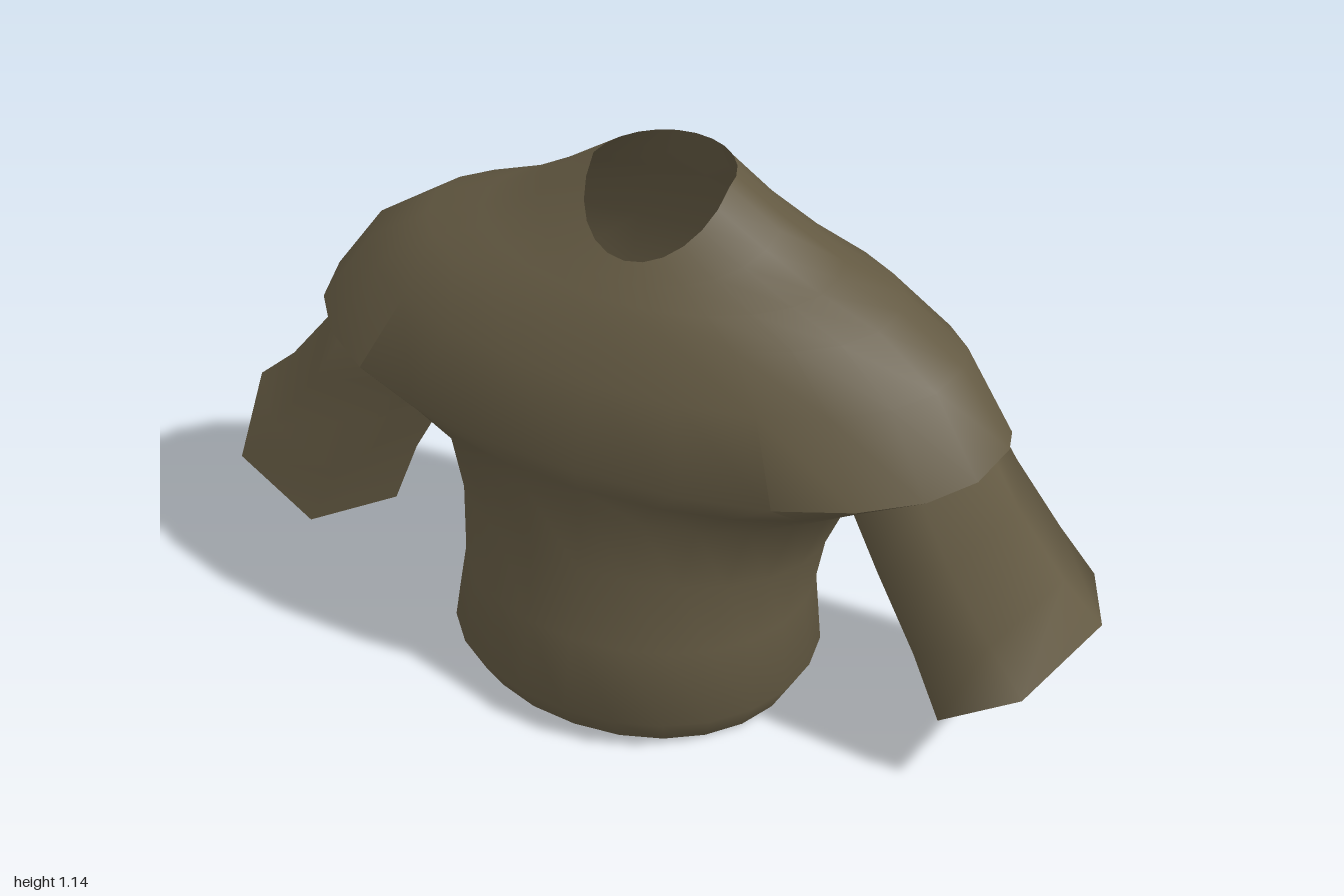
import * as THREE from 'three';
import { toCreasedNormals } from 'three/addons/utils/BufferGeometryUtils.js';

const cloth = new THREE.MeshStandardMaterial({ color: 0x635942, side: THREE.DoubleSide });
cloth.name = 'olive cloth';

// Joins closed rings of points into an open, skinned tube.
function loft(rings, crease) {
  const n = rings[0].length;
  const index = [];
  for (let r = 0; r < rings.length - 1; r++) {
    for (let i = 0; i < n; i++) {
      const a = r * n + i, b = r * n + (i + 1) % n;
      index.push(a, a + n, b, b, a + n, b + n);
    }
  }
  const geometry = new THREE.BufferGeometry();
  geometry.setAttribute('position', new THREE.Float32BufferAttribute(rings.flat(2), 3));
  geometry.setIndex(index);
  return toCreasedNormals(geometry, crease);
}

// Rounded body ring whose front, side and back heights can differ.
function bodyRing([ySide, yFront, yBack, width, zFront, zBack, zMid, power]) {
  const points = [];
  const bend = (v) => Math.sign(v) * Math.abs(v) ** (2 / power);
  const count = 24;
  for (let i = 0; i < count; i++) {
    const a = -i / count * Math.PI * 2;
    const s = bend(Math.sin(a)), k = Math.abs(s);
    const y = ySide + ((s > 0 ? yFront : yBack) - ySide) * k;
    const z = zMid + ((s > 0 ? zFront : zBack) - zMid) * k;
    points.push([width * bend(Math.cos(a)), y, z]);
  }
  return points;
}

// Six-sided sleeve ring between an outer and an inner edge point.
function sleeveRing([xOut, yOut, xIn, yIn, zFront, zBack], side) {
  const zMid = (zFront + zBack) / 2;
  return [[0, zMid], [0.25, zFront], [0.75, zFront], [1, zMid], [0.75, zBack], [0.25, zBack]]
    .map(([t, z]) => [side * (xOut + (xIn - xOut) * t), yOut + (yIn - yOut) * t, z]);
}

export function createModel() {
  const group = new THREE.Group();
  group.name = 'shirt';

  // Body from hem to neckline: side y, front y, back y, half width, front z, back z, mid z, roundness
  const bodyRings = [
    [0.015, 0.00, 0.03, 0.37, 0.33, -0.28, 0.02, 2.1],
    [0.08, 0.075, 0.09, 0.405, 0.375, -0.30, 0.02, 2.1],
    [0.24, 0.24, 0.25, 0.385, 0.335, -0.305, 0.01, 2.1],
    [0.37, 0.40, 0.42, 0.405, 0.30, -0.31, -0.02, 2.1],
    [0.51, 0.54, 0.52, 0.46, 0.285, -0.345, -0.05, 2.1],
    [0.60, 0.60, 0.58, 0.61, 0.293, -0.365, -0.06, 2.1],
    [0.71, 0.65, 0.63, 0.77, 0.305, -0.375, -0.07, 2.15],
    [0.865, 0.82, 0.84, 0.66, 0.24, -0.36, -0.08, 2.1],
    [0.955, 0.92, 0.95, 0.52, 0.18, -0.325, -0.08, 2.1],
    [0.995, 0.96, 1.01, 0.39, 0.145, -0.295, -0.08, 2],
    [1.07, 0.99, 1.07, 0.26, 0.115, -0.265, -0.08, 2],
    [1.14, 1.02, 1.14, 0.15, 0.085, -0.24, -0.08, 2],
  ];
  const body = new THREE.Mesh(loft(bodyRings.map(bodyRing), 1.1), cloth);
  body.name = 'body';
  group.add(body);

  // Sleeves from inside the shoulder cap to the open cuff
  const sleeveRings = [
    [0.63, 0.78, 0.38, 0.62, 0.08, -0.24],
    [0.73, 0.69, 0.45, 0.55, 0.11, -0.26],
    [0.80, 0.57, 0.51, 0.44, 0.125, -0.27],
    [0.91, 0.43, 0.60, 0.27, 0.145, -0.28],
    [1.00, 0.35, 0.66, 0.11, 0.16, -0.285],
  ];
  for (const [name, side] of [['leftSleeve', 1], ['rightSleeve', -1]]) {
    const rings = sleeveRings.map((ring) => sleeveRing(ring, side));
    // Keep the outer faces outward on both sides
    if (side > 0) rings.forEach((ring) => ring.reverse());
    const sleeve = new THREE.Mesh(loft(rings, 1.3), cloth);
    sleeve.name = name;
    group.add(sleeve);
  }
  return group;
}
